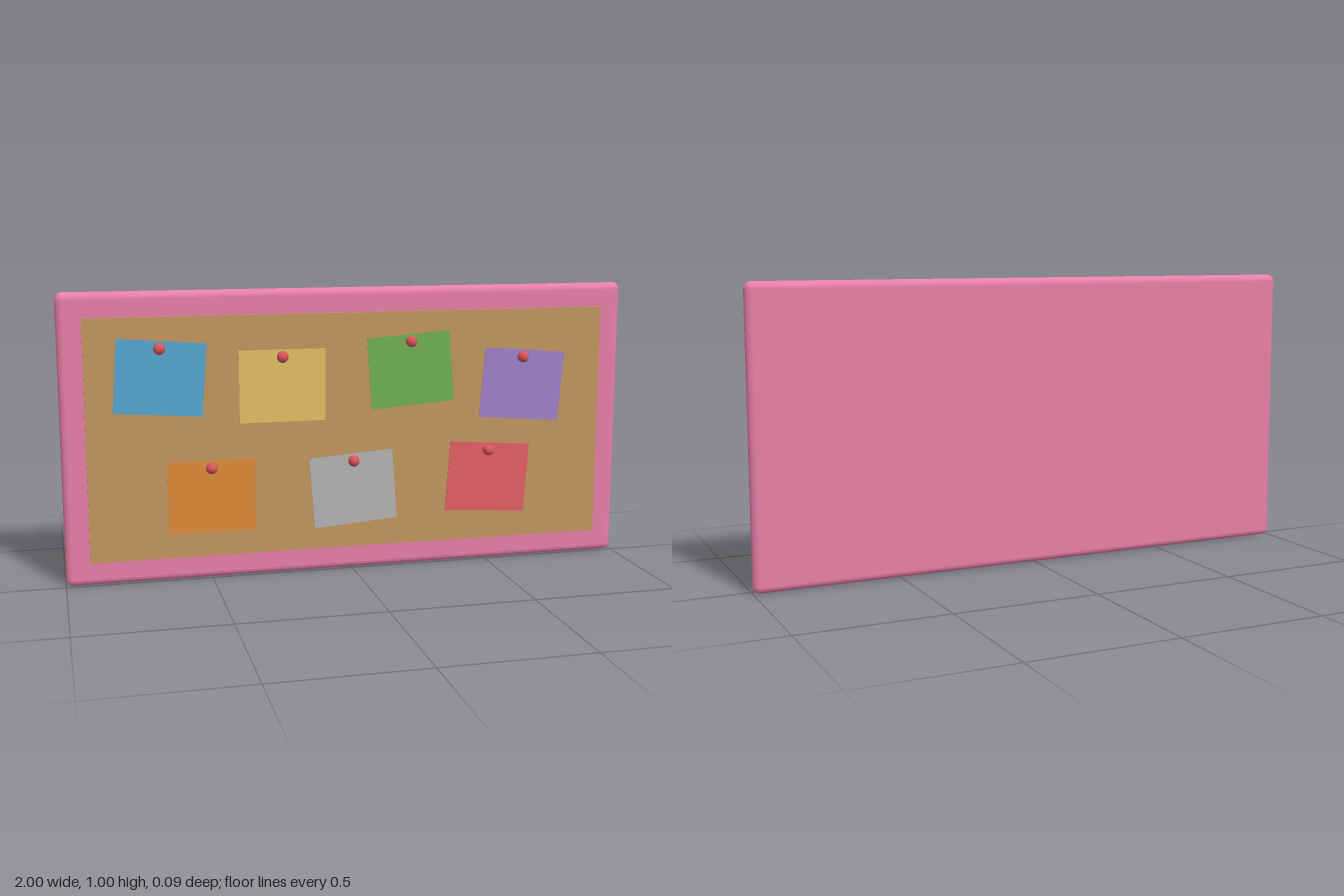
import * as THREE from 'three';
import { RoundedBoxGeometry } from 'three/addons/geometries/RoundedBoxGeometry.js';

export function createModel() {
  const board = new THREE.Group();
  board.name = 'pinboard';

  const add = (name, geometry, color, x, y, z, tilt = 0) => {
    const mesh = new THREE.Mesh(geometry, new THREE.MeshStandardMaterial({ color }));
    mesh.name = name;
    mesh.position.set(x, y, z);
    mesh.rotation.z = tilt;
    board.add(mesh);
  };

  // Rounded backing frame and the cork panel standing slightly proud of it
  add('frame', new RoundedBoxGeometry(2, 1, 0.05, 5, 0.0245), 0xe87fa6, 0, 0.5, -0.02);
  add('corkPanel', new THREE.BoxGeometry(1.834, 0.83, 0.03), 0xc09560, 0, 0.5, 0.004);

  // Notes: name, colour, centre x, centre y, tilt
  const notes = [
    ['blue', 0x55a5d2, -0.667, 0.71, -0.075],
    ['yellow', 0xdfbf63, -0.25, 0.67, 0],
    ['green', 0x70b055, 0.207, 0.71, 0.075],
    ['purple', 0xa080cc, 0.622, 0.644, -0.08],
    ['orange', 0xdf8a3a, -0.5, 0.295, 0],
    ['grey', 0xb2b2b2, 0, 0.295, 0.075],
    ['red', 0xe06064, 0.497, 0.311, -0.07],
  ];
  const paper = new THREE.BoxGeometry(0.3, 0.25, 0.005);
  const pinHead = new THREE.SphereGeometry(0.02, 24, 16);
  for (const [name, color, x, y, tilt] of notes) {
    add(`${name}Note`, paper, color, x, y, 0.0185, tilt);
    add(`${name}NotePin`, pinHead, 0xd9555a, x, y + 0.1, 0.026);
  }
  return board;
}
